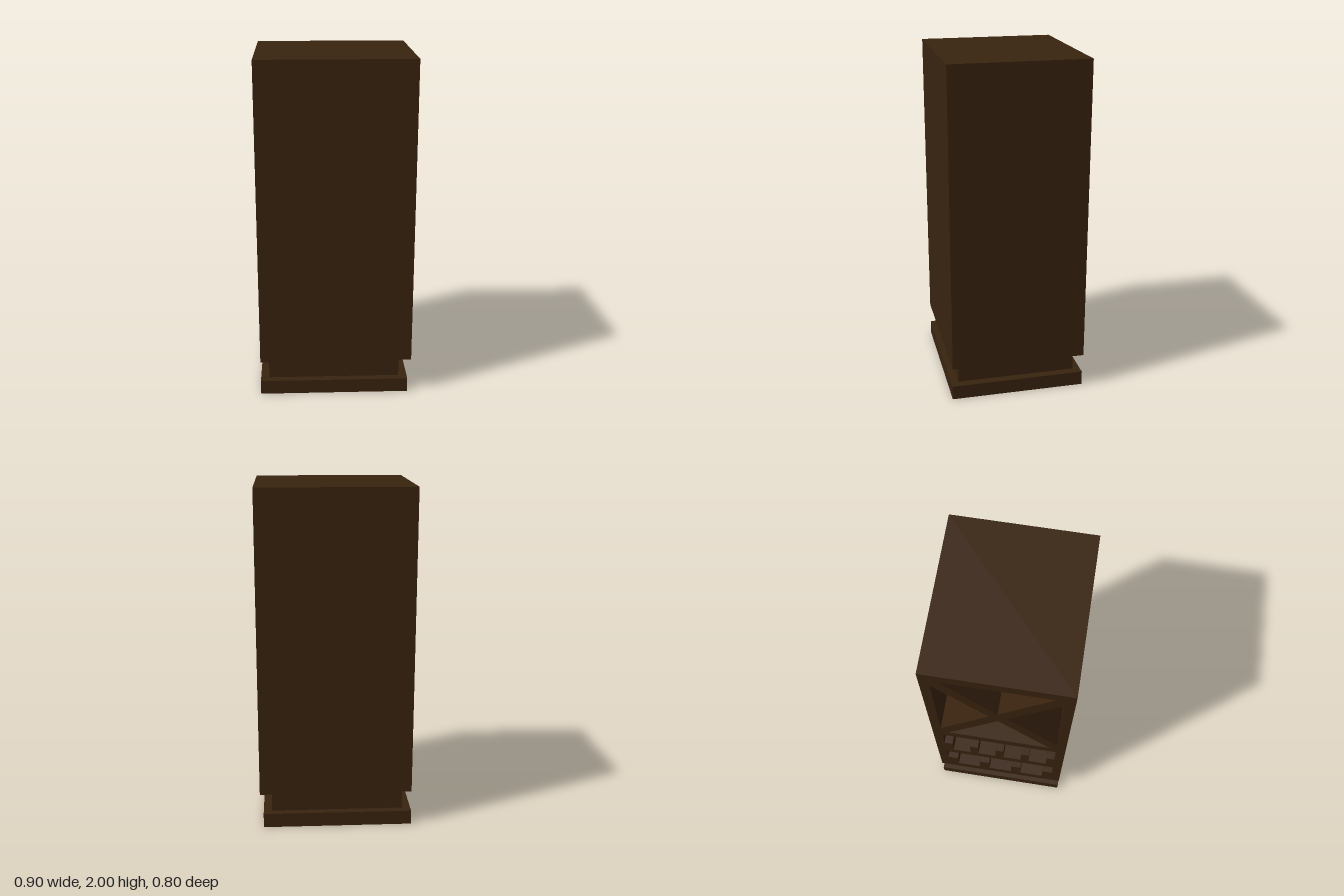
import * as THREE from 'three';

export function createModel() {
  const root = new THREE.Group();
  const mat = (name, color) => {
    const m = new THREE.MeshStandardMaterial({ color });
    m.name = name;
    return m;
  };
  const wood = mat('dark wood', 0x38230f);
  const purple = mat('purple glass', 0x47278a);
  const green = mat('green glass', 0x0d6a33);
  const brown = mat('brown glass', 0x452b16);

  // Box given by its min and max on each axis
  const box = (name, x0, x1, y0, y1, z0, z1) => {
    const m = new THREE.Mesh(new THREE.BoxGeometry(x1 - x0, y1 - y0, z1 - z0), wood);
    m.position.set((x0 + x1) / 2, (y0 + y1) / 2, (z0 + z1) / 2);
    m.name = name;
    root.add(m);
    return m;
  };

  // Stepped plinth
  box('plinthFoot', -0.45, 0.43, 0, 0.085, -0.4, 0.4);
  box('plinthNeck', -0.4, 0.38, 0.085, 0.21, -0.355, 0.355);

  // Cabinet shell, open towards -x
  const inner = 0.345, backX = 0.4;
  box('cabinetFloor', -0.45, 0.45, 0.21, 0.28, -0.4, 0.4);
  box('cabinetTop', -0.45, 0.45, 1.92, 2, -0.4, 0.4);
  box('cabinetBack', backX, 0.45, 0.28, 1.92, -0.4, 0.4);
  for (const s of [-1, 1]) {
    box('cabinetSide', -0.45, backX, 0.28, 1.92, Math.min(s * 0.4, s * inner), Math.max(s * 0.4, s * inner));
  }
  box('lowerShelf', -0.45, backX, 0.557, 0.625, -inner, inner);
  box('upperShelf', -0.45, backX, 0.94, 1.015, -inner, inner);

  // Low dividers forming the bottle slots
  const dividers = (count, y0, y1, half, thick) => {
    for (let i = 0; i < count; i++) {
      const z = -half + (2 * half * i) / (count - 1);
      box('slotDivider', -0.45, backX, y0, y1, z - thick / 2, z + thick / 2);
    }
  };
  dividers(4, 0.28, 0.41, 0.313, 0.064);
  dividers(5, 0.625, 0.76, 0.32, 0.05);

  // Crossed full-depth panels with ends cut to fit the upper bay
  const yLow = 1.015, yHigh = 1.92, cut = 0.07;
  for (const s of [-1, 1]) {
    const shape = new THREE.Shape([
      [-inner, yLow], [-inner + cut * 0.6, yLow], [inner, yHigh - cut],
      [inner, yHigh], [inner - cut * 0.6, yHigh], [-inner, yLow + cut],
    ].map(([z, y]) => new THREE.Vector2(z, y)));
    const geo = new THREE.ExtrudeGeometry(shape, { depth: backX + 0.45, bevelEnabled: false });
    const panel = new THREE.Mesh(geo, wood);
    panel.name = 'crossPanel';
    if (s > 0) {
      panel.rotation.y = Math.PI / 2;
      panel.position.x = -0.45;
    } else {
      panel.rotation.y = -Math.PI / 2;
      panel.position.x = backX;
    }
    root.add(panel);
  }

  // Lying bottles, necks pointing to -x
  const profile = [
    [0, 0], [0.055, 0], [0.062, 0.01], [0.062, 0.36], [0.052, 0.4], [0.03, 0.43],
    [0.02, 0.45], [0.018, 0.53], [0.023, 0.532], [0.023, 0.555], [0.018, 0.56], [0, 0.56],
  ].map(([r, y]) => new THREE.Vector2(r, y));
  const bottleGeo = new THREE.LatheGeometry(profile, 16);
  const bottle = (material, tipX, y, z) => {
    const b = new THREE.Mesh(bottleGeo, material);
    b.rotation.z = Math.PI / 2;
    b.position.set(tipX + 0.56, y, z);
    b.name = 'bottle';
    root.add(b);
  };
  // Bottom row
  bottle(brown, -0.385, 0.44, -0.21);
  bottle(purple, -0.385, 0.44, 0);
  bottle(green, -0.385, 0.44, 0.21);
  // Middle row
  bottle(green, -0.4, 0.8, -0.24);
  bottle(brown, -0.4, 0.8, -0.08);
  bottle(purple, -0.4, 0.8, 0.08);
  bottle(purple, -0.4, 0.8, 0.24);
  // Crossed bay
  bottle(green, -0.316, 1.077, 0.047);
  bottle(brown, -0.316, 1.077, 0.19);
  bottle(green, -0.316, 1.18, 0.118);
  bottle(green, -0.316, 1.48, -0.12);
  bottle(purple, -0.316, 1.73, 0.11);

  return root;
}
